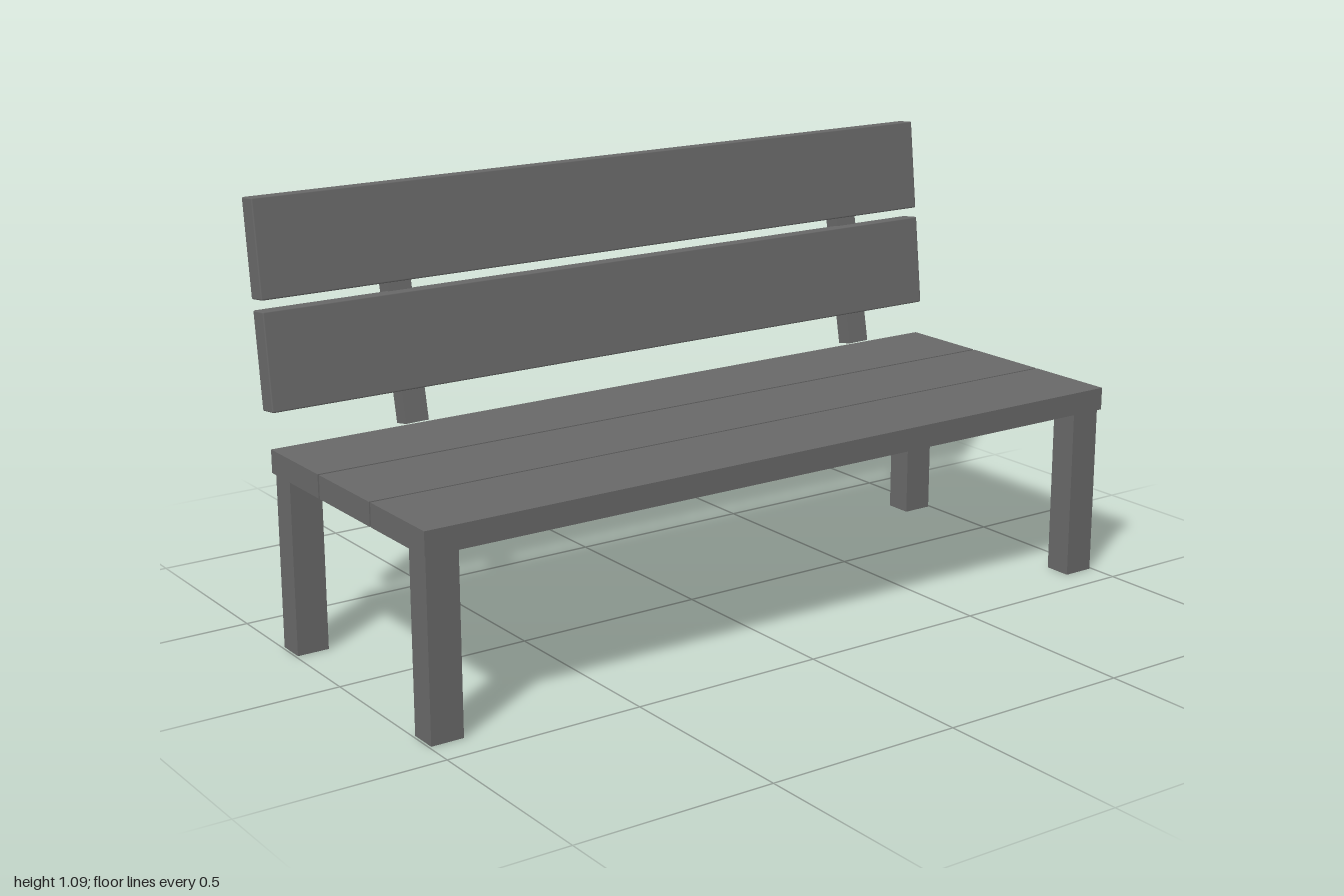
import * as THREE from 'three';
import { RoundedBoxGeometry } from 'three/addons/geometries/RoundedBoxGeometry.js';

export function createModel() {
  const bench = new THREE.Group();
  bench.name = 'bench';
  const wood = new THREE.MeshStandardMaterial({ color: 0x686868 });

  function add(name, geometry, x, y, z, tiltX = 0, tiltZ = 0) {
    const mesh = new THREE.Mesh(geometry, wood);
    mesh.name = name;
    mesh.position.set(x, y, z);
    mesh.rotation.set(tiltX, 0, tiltZ);
    bench.add(mesh);
  }

  // Seat: three flat planks with narrow gaps
  const seatPlank = new THREE.BoxGeometry(2, 0.058, 0.242);
  [0.308, 0.06, -0.189].forEach((z, i) => add(`seatPlank${i + 1}`, seatPlank, 0, 0.469, z));

  // Legs: four square-edged posts
  const leg = new THREE.BoxGeometry(0.082, 0.441, 0.072);
  for (const [side, x] of [['Left', 0.953], ['Right', -0.953]]) {
    add(`front${side}Leg`, leg, x, 0.2205, 0.384);
    add(`back${side}Leg`, leg, x, 0.2205, -0.265);
  }

  // Backrest: two leaning planks with softly shaded, eased edges
  const backPlank = new RoundedBoxGeometry(2, 0.241, 0.055, 1, 0.004);
  add('lowerBackPlank', backPlank, 0, 0.707, -0.332, -0.115);
  add('upperBackPlank', backPlank, 0, 0.972, -0.364, -0.115);

  // Supports behind the backrest, leaning a little further than the planks
  const support = new THREE.BoxGeometry(0.064, 0.461, 0.046);
  add('leftBackSupport', support, 0.781, 0.726, -0.365, -0.173, 0.014);
  add('rightBackSupport', support, -0.614, 0.726, -0.365, -0.173, 0.014);

  return bench;
}
